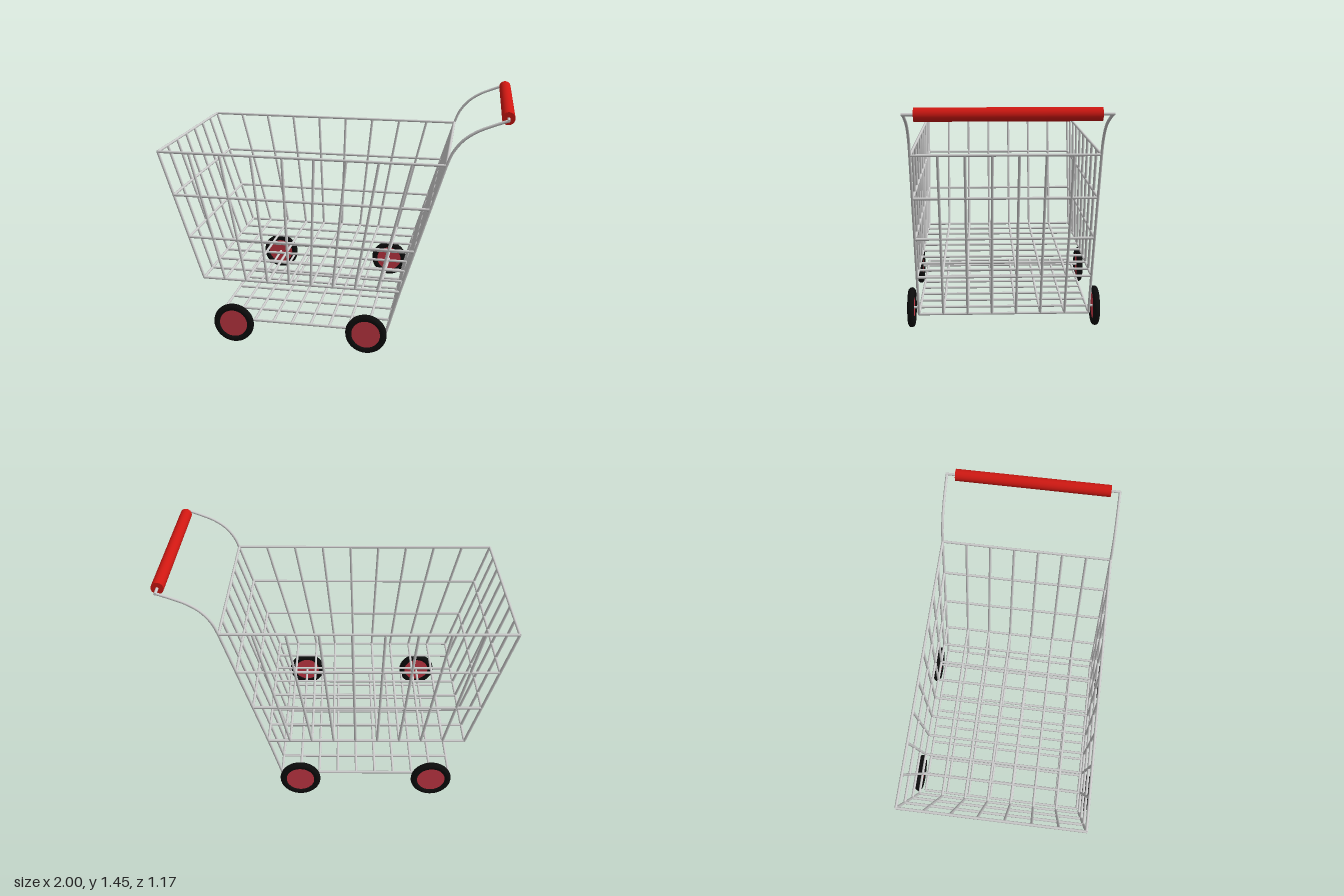
import * as THREE from 'three';

const steel = new THREE.MeshStandardMaterial({ color: 0xcccccc });
const red = new THREE.MeshStandardMaterial({ color: 0xd01812 });
const hubRed = new THREE.MeshStandardMaterial({ color: 0xcc3a48 });
const rubber = new THREE.MeshStandardMaterial({ color: 0x0c0c0c });

const HALF = 0.515; // half width of the cart
const RIM = 1.155, FLOOR = 0.385, RACK = 0.125;
const R = 0.008;
const lerp = THREE.MathUtils.lerp;
const V = (x, y, z) => new THREE.Vector3(x, y, z);

// Basket end positions at height fraction t (0 = floor, 1 = rim)
const noseX = t => lerp(-0.76, -0.992, t);
const rearX = t => lerp(0.418, 0.652, t);
const heightY = t => lerp(FLOOR, RIM, t);

// Straight round wire between two points
function wire(group, a, b, r = R) {
  const dir = b.clone().sub(a);
  const mesh = new THREE.Mesh(new THREE.CylinderGeometry(r, r, dir.length(), 10), steel);
  mesh.position.copy(a).lerp(b, 0.5);
  mesh.quaternion.setFromUnitVectors(V(0, 1, 0), dir.normalize());
  mesh.name = 'wire';
  group.add(mesh);
}

function named(parent, name) {
  const g = new THREE.Group();
  g.name = name;
  parent.add(g);
  return g;
}

// Flat grid of wires: 9 cells long, 7 cells wide
function grid(group, x0, x1, y) {
  for (let i = 0; i <= 9; i++) {
    const x = lerp(x0, x1, i / 9);
    wire(group, V(x, y, -HALF), V(x, y, HALF));
  }
  for (let i = 0; i <= 7; i++) {
    const z = lerp(-HALF, HALF, i / 7);
    wire(group, V(x0, y, z), V(x1, y, z));
  }
}

export function createModel() {
  const cart = new THREE.Group();
  cart.name = 'shoppingCart';

  grid(named(cart, 'basketFloor'), noseX(0), rearX(0), FLOOR);
  grid(named(cart, 'lowerRack'), -0.685, 0.345, RACK);

  // Horizontal hoops around the basket
  const hoops = named(cart, 'basketHoops');
  for (let k = 1; k <= 3; k++) {
    const t = k / 3, y = heightY(t), a = noseX(t), b = rearX(t);
    for (const z of [-HALF, HALF]) wire(hoops, V(a, y, z), V(b, y, z));
    for (const x of [a, b]) wire(hoops, V(x, y, -HALF), V(x, y, HALF));
  }

  // Fanned uprights of both side walls
  for (const s of [-1, 1]) {
    const side = named(cart, s > 0 ? 'leftWall' : 'rightWall');
    for (let i = 1; i <= 8; i++) {
      wire(side, V(lerp(noseX(0), rearX(0), i / 9), FLOOR, s * HALF),
        V(lerp(noseX(1), rearX(1), i / 9), RIM, s * HALF));
    }
  }

  // End walls; the handle end runs on down to the lower rack
  const nose = named(cart, 'noseWall'), rear = named(cart, 'handleEndWall');
  for (let i = 0; i <= 7; i++) {
    const z = lerp(-HALF, HALF, i / 7);
    wire(nose, V(noseX(0), FLOOR, z), V(noseX(1), RIM, z));
    wire(rear, V(rearX(0), FLOOR, z), V(rearX(1), RIM, z));
    wire(rear, V(0.345, RACK, z), V(rearX(0), FLOOR, z));
  }

  // Handle: curved arms, cross bar and grip
  const handle = named(cart, 'handle');
  for (const z of [-HALF, HALF]) {
    const path = new THREE.CatmullRomCurve3([V(0.652, 1.155, z), V(0.682, 1.23, z),
      V(0.735, 1.3, z), V(0.805, 1.35, z), V(0.88, 1.383, z), V(0.962, 1.414, z)]);
    const arm = new THREE.Mesh(new THREE.TubeGeometry(path, 24, R, 10), steel);
    arm.name = 'handleArm';
    handle.add(arm);
  }
  wire(handle, V(0.962, 1.414, -HALF - R), V(0.962, 1.414, HALF + R));
  const grip = new THREE.Mesh(new THREE.CylinderGeometry(0.035, 0.035, 0.925, 24), red);
  grip.name = 'grip';
  grip.rotation.x = Math.PI / 2;
  grip.position.set(0.962, 1.414, 0);
  handle.add(grip);

  // Axles and wheels
  const running = named(cart, 'runningGear');
  for (const x of [-0.571, 0.231]) {
    wire(running, V(x, RACK, -0.565), V(x, RACK, 0.565));
    for (const s of [-1, 1]) {
      const wheel = named(running, 'wheel');
      wheel.position.set(x, RACK, s * 0.567);
      const tyre = new THREE.Mesh(new THREE.TorusGeometry(0.102, 0.021, 14, 40), rubber);
      tyre.name = 'tyre';
      const disc = new THREE.Mesh(new THREE.CylinderGeometry(0.095, 0.095, 0.022, 40), hubRed);
      disc.name = 'wheelDisc';
      disc.rotation.x = Math.PI / 2;
      wheel.add(tyre, disc);
    }
  }
  return cart;
}
